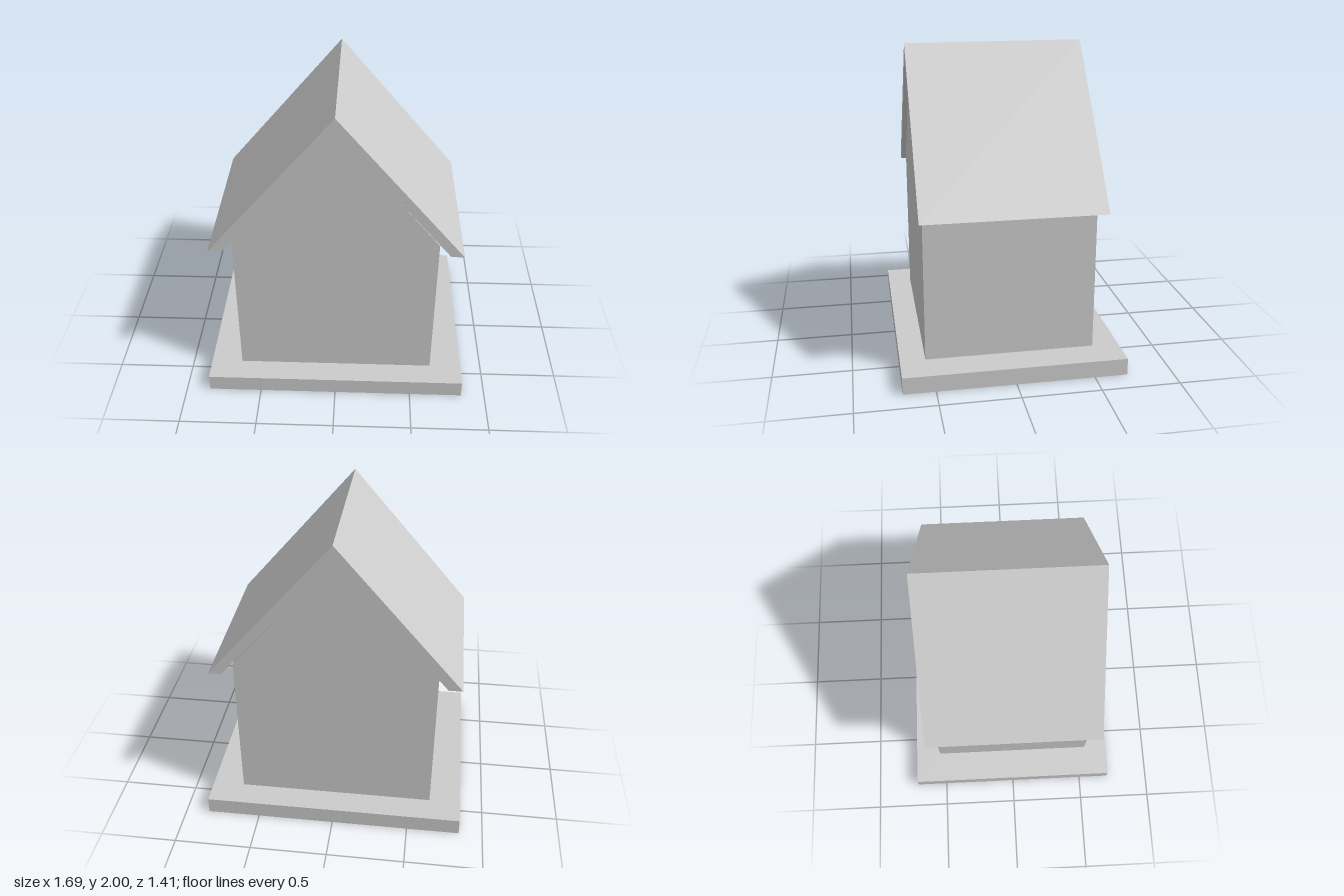
import * as THREE from 'three';

const material = new THREE.MeshStandardMaterial({ color: 0xcccccc, flatShading: true });

// Closed outline from a short list of corners
function outline(points, Type = THREE.Shape) {
  return new Type(points.map(([x, y]) => new THREE.Vector2(x, y)));
}

// Extrude an x-y profile from zBack to zFront
function prism(name, shape, zBack, zFront) {
  const geometry = new THREE.ExtrudeGeometry(shape, { depth: zFront - zBack, bevelEnabled: false });
  geometry.translate(0, 0, zBack);
  const mesh = new THREE.Mesh(geometry, material);
  mesh.name = name;
  return mesh;
}

export function createModel() {
  const house = new THREE.Group();
  house.name = 'house';

  // Base slab with a cut-out under the walls, laid flat
  const slab = outline([[-0.845, -0.705], [0.845, -0.705], [0.845, 0.71], [-0.845, 0.71]]);
  slab.holes.push(outline([[-0.635, -0.54], [-0.635, 0.535], [0.635, 0.535], [0.635, -0.54]], THREE.Path));
  const baseGeometry = new THREE.ExtrudeGeometry(slab, { depth: 0.11, bevelEnabled: false });
  baseGeometry.rotateX(-Math.PI / 2);
  const base = new THREE.Mesh(baseGeometry, material);
  base.name = 'base';
  house.add(base);

  // Gabled walls; their floor sits just above the ground, leaving a shallow recess
  const walls = outline([
    [-0.64, 0.03], [0.637, 0.03], [0.642, 1.12], [0, 1.89], [-0.645, 1.126],
  ]);
  house.add(prism('walls', walls, -0.537, 0.545));

  // Folded roof with eaves cut level
  const roof = outline([
    [-0.795, 1.06], [-0.705, 1.06], [0, 1.9], [0.713, 1.06], [0.795, 1.06], [0, 2],
  ]);
  house.add(prism('roof', roof, -0.57, 0.575));

  return house;
}
